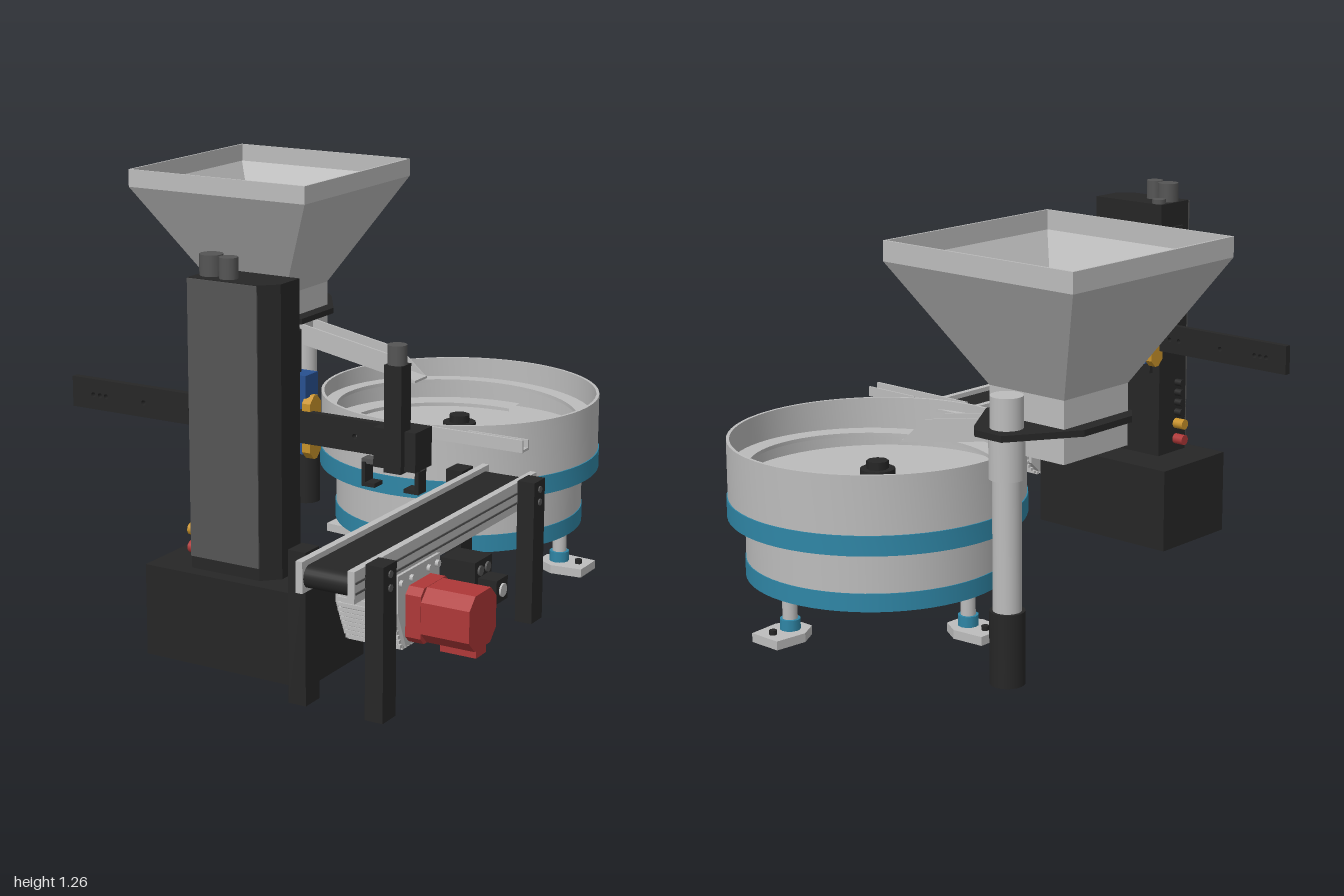
import * as THREE from 'three';
import { toCreasedNormals } from 'three/addons/utils/BufferGeometryUtils.js';

const mat = (name, color) => new THREE.MeshStandardMaterial({ name, color, side: THREE.DoubleSide });

export function createModel() {
  const model = new THREE.Group();
  const steel = mat('steel', 0xbcbcbc), black = mat('black', 0x262626), grey = mat('dark grey', 0x555555);
  const teal = mat('teal', 0x2f86a6), red = mat('red', 0xae3838), yellow = mat('amber', 0xc8922a);
  const blue = mat('blue', 0x28508f);

  const add = (name, geo, m) => {
    const mesh = new THREE.Mesh(geo, m);
    mesh.name = name;
    model.add(mesh);
    return mesh;
  };
  // Box given by its limits on each axis
  const box = (name, m, x0, x1, y0, y1, z0, z1) => add(name,
    new THREE.BoxGeometry(x1 - x0, y1 - y0, z1 - z0).translate((x0 + x1) / 2, (y0 + y1) / 2, (z0 + z1) / 2), m);
  // Upright cylinder from y0 to y1
  const post = (name, m, x, z, r, y0, y1, sides = 24) => add(name,
    new THREE.CylinderGeometry(r, r, y1 - y0, sides).translate(x, (y0 + y1) / 2, z), m);
  // Cylinder lying along x
  const rod = (name, m, x0, x1, y, z, r, sides = 24) => add(name,
    new THREE.CylinderGeometry(r, r, x1 - x0, sides).rotateZ(Math.PI / 2).translate((x0 + x1) / 2, y, z), m);
  // Outline pushed along an axis: x uses (z,y) points, y uses (x,z), z uses (x,y)
  const prism = (name, m, axis, pts, a, b, holes = []) => {
    const shape = new THREE.Shape(pts.map(p => new THREE.Vector2(...p)));
    shape.holes.push(...holes);
    const g = new THREE.ExtrudeGeometry(shape, { depth: b - a, bevelEnabled: false, curveSegments: 8 });
    if (axis === 'x') g.rotateY(-Math.PI / 2).translate(b, 0, 0);
    if (axis === 'y') g.rotateX(Math.PI / 2).translate(0, b, 0);
    if (axis === 'z') g.translate(0, 0, a);
    return add(name, g, m);
  };
  const octagon = (cx, cy, hx, hy, c) => [[hx, hy - c], [hx - c, hy], [c - hx, hy], [-hx, hy - c],
    [-hx, c - hy], [c - hx, -hy], [hx - c, -hy], [hx, c - hy]].map(([x, y]) => [cx + x, cy + y]);
  const lathe = (name, m, pts, x, z) => add(name, toCreasedNormals(
    new THREE.LatheGeometry(pts.map(p => new THREE.Vector2(...p)), 64), 0.4).translate(x, 0, z), m);

  // Hopper: four-sided shell with straight rim and closed neck
  const k = Math.SQRT2;
  const hopper = new THREE.LatheGeometry([[0, 0.655], [0.14, 0.655], [0.14, 0.84], [0.349, 1.2], [0.349, 1.26], [0.342, 1.26], [0.342, 1.2]]
    .map(([r, y]) => new THREE.Vector2(r * k, y)), 4, Math.PI / 4).toNonIndexed();
  hopper.computeVertexNormals();
  add('hopper', hopper.translate(-0.546, 0, -0.515), steel);
  // Hopper bracket around the neck
  const neckHole = new THREE.Path([[-0.685, -0.65], [-0.407, -0.65], [-0.407, -0.38], [-0.685, -0.38]].map(p => new THREE.Vector2(...p)));
  prism('hopperBracket', black, 'y', [[-0.73, -0.41], [-0.69, -0.36], [-0.4, -0.36], [-0.36, -0.41], [-0.36, -0.62],
    [-0.47, -0.79], [-0.5, -0.82], [-0.6, -0.82], [-0.62, -0.79], [-0.73, -0.62]], 0.738, 0.757, [neckHole]);
  // Hopper stand
  post('standFoot', black, -0.549, -0.74, 0.052, 0, 0.22);
  post('standTube', steel, -0.549, -0.74, 0.042, 0.22, 0.83);
  post('standCollar', steel, -0.549, -0.74, 0.052, 0.61, 0.735);
  post('standCap', steel, -0.549, -0.74, 0.048, 0.757, 0.85);
  // Sloping feed chute
  for (const z of [-0.565, -0.479])
    prism('chuteWall', steel, 'z', [[-0.41, 0.655], [0.045, 0.57], [-0.06, 0.66], [-0.41, 0.725]], z, z + 0.008);
  prism('chuteFloor', steel, 'z', [[-0.41, 0.655], [0.045, 0.57], [0.045, 0.578], [-0.41, 0.663]], -0.56, -0.475);

  // Feeder bowl and drum
  const bx = 0.195, bz = -0.515;
  lathe('bowl', steel, [[0.463, 0.375], [0.463, 0.56], [0.453, 0.56], [0.453, 0.4], [0.37, 0.4], [0, 0.42]], bx, bz);
  lathe('bowlBand', teal, [[0, 0.315], [0.467, 0.315], [0.467, 0.377], [0.455, 0.377]], bx, bz);
  post('drum', steel, bx, bz, 0.412, 0.18, 0.32, 64);
  post('drumBand', teal, bx, bz, 0.415, 0.125, 0.182, 64);
  post('bowlKnob', black, bx, bz, 0.055, 0.41, 0.45, 16);
  post('bowlKnobTop', black, bx, bz, 0.035, 0.45, 0.475, 8);
  // Spiral track climbing the bowl wall, with a skirt below its inner edge
  const track = [], index = [], steps = 96;
  for (let i = 0; i <= steps; i++) {
    const t = i / steps, a = Math.PI * (3.5 - 3 * t), y = 0.41 + 0.115 * t, ri = 0.37 + 0.045 * t;
    for (const [r, h] of [[0.455, y], [ri, y], [ri, y - 0.012]])
      track.push(bx + r * Math.cos(a), h, bz + r * Math.sin(a));
    if (i < steps) for (const j of [0, 1]) {
      const p = i * 3 + j;
      index.push(p, p + 3, p + 1, p + 1, p + 3, p + 4);
    }
  }
  const spiral = new THREE.BufferGeometry();
  spiral.setAttribute('position', new THREE.Float32BufferAttribute(track, 3));
  spiral.setIndex(index.reverse());
  add('spiralTrack', toCreasedNormals(spiral, 0.5), steel);
  // Straight outlet from the bowl to the belt
  box('outletFloor', steel, 0.2, 0.66, 0.522, 0.53, -0.09, -0.048);
  box('outletWall', steel, 0.25, 0.66, 0.522, 0.562, -0.054, -0.046);
  box('outletWall', steel, 0.45, 0.66, 0.522, 0.555, -0.092, -0.086);
  // Four feet around the drum
  for (let i = 0; i < 4; i++) {
    const foot = new THREE.Group();
    foot.name = 'bowlFoot';
    foot.add(prism('footPad', steel, 'y', [[0.485, -0.055], [0.485, 0.055], [0.38, 0.065], [0.32, 0.03], [0.32, -0.03], [0.38, -0.065]], 0, 0.028),
      post('footNut', teal, 0.38, 0, 0.032, 0.028, 0.062, 12),
      post('footStem', steel, 0.38, 0, 0.023, 0.062, 0.127, 16),
      post('footBolt', black, 0.45, 0, 0.012, 0.028, 0.042, 8));
    foot.position.set(bx, 0, bz);
    foot.rotation.y = i * Math.PI / 2;
    model.add(foot);
  }

  // Conveyor
  for (const [x0, x1, out] of [[0.49, 0.512, 0.489], [0.655, 0.677, 0.678]]) {
    box('conveyorRail', steel, x0, x1, 0.355, 0.447, -0.115, 1);
    for (const y of [0.38, 0.41]) box('railGroove', grey, out - 0.002, out + 0.002, y, y + 0.006, -0.11, 0.995);
  }
  box('belt', black, 0.514, 0.653, 0.365, 0.432, -0.08, 0.965);
  for (const z of [-0.08, 0.965]) rod('beltRoller', black, 0.514, 0.653, 0.3985, z, 0.0335);
  for (const x of [0.43, 0.678]) for (const z of [-0.055, 0.87]) {
    box('conveyorLeg', black, x, x + 0.057, 0, 0.453, z, z + 0.073);
    for (const y of [0.385, 0.425]) rod('legBolt', grey, x - 0.004, x + 0.061, y, z + 0.036, 0.011, 8);
  }

  // Ribbed drive housing below the belt
  const outline = [[0.78, 0.37], [0.78, 0.25], [0.73, 0.14], [0.57, 0.14], [0.525, 0.18], [0.525, 0.37]];
  prism('driveHousing', steel, 'x', outline, 0.505, 0.665);
  const inset = outline.map(([z, y]) => [0.65 + (z - 0.65) * 0.96, y < 0.3 ? y + 0.008 : y]);
  for (const x of [0.484, 0.665]) prism('drivePlate', steel, 'x', inset, x, x + 0.021);
  for (let i = 0; i + 1 < outline.length; i++) {
    const [z0, y0] = outline[i], [z1, y1] = outline[i + 1], n = Math.round(Math.hypot(z1 - z0, y1 - y0) / 0.018);
    for (let j = 0; j < n; j++) {
      const z = z0 + (z1 - z0) * (j + 0.5) / n, y = y0 + (y1 - y0) * (j + 0.5) / n;
      box('driveRib', steel, 0.495, 0.675, y - 0.005, y + 0.005, z - 0.006, z + 0.006);
    }
  }
  for (const z of [0.55, 0.6, 0.7, 0.76]) rod('plateBolt', steel, 0.472, 0.696, 0.345, z, 0.011, 8);
  // Motor
  prism('motorFlange', red, 'x', octagon(0.648, 0.242, 0.083, 0.083, 0.02), 0.686, 0.735);
  prism('motorBody', red, 'x', octagon(0.648, 0.242, 0.082, 0.082, 0.035), 0.735, 0.888);
  box('motorPlug', red, 0.77, 0.885, 0.135, 0.165, 0.62, 0.68);
  // Control box with dials
  box('controlBox', black, 0.678, 0.79, 0.17, 0.35, 0.405, 0.51);
  box('controlNose', black, 0.79, 0.85, 0.23, 0.3, 0.42, 0.49);
  for (const [y, z] of [[0.32, 0.435], [0.32, 0.48], [0.2, 0.435], [0.2, 0.48]]) rod('controlDial', grey, 0.79, 0.796, y, z, 0.015, 16);
  rod('controlLens', steel, 0.85, 0.856, 0.265, 0.455, 0.02, 16);

  // Handling unit: base and column
  box('unitBase', black, -0.135, 0.418, 0, 0.28, 0.503, 0.832);
  prism('column', black, 'y', [[0, 0.64], [0.283, 0.64], [0.283, 0.74], [0.235, 0.787], [0, 0.787]], 0.28, 1.15);
  box('columnCover', grey, 0, 0.235, 0.318, 1.148, 0.785, 0.792);
  post('columnCap', grey, 0.04, 0.725, 0.035, 1.15, 1.212, 12);
  post('columnCap', grey, 0.11, 0.742, 0.028, 1.15, 1.212, 12);
  post('columnCap', grey, 0.03, 0.663, 0.023, 1.15, 1.165, 8);
  // Fittings on the column side
  for (let i = 0; i < 4; i++) rod('columnPort', black, -0.027, 0, 0.42 + i * 0.035, 0.735, 0.012, 10);
  rod('amberButton', yellow, -0.04, 0, 0.38, 0.735, 0.018, 12);
  rod('redButton', red, -0.04, 0, 0.325, 0.735, 0.018, 12);
  box('columnLug', black, -0.012, 0, 1.015, 1.07, 0.7, 0.75);

  // Carriage behind the column
  box('carriage', blue, 0, 0.28, 0.62, 0.8, 0.56, 0.604);
  box('carriageTop', blue, -0.01, 0.292, 0.795, 0.862, 0.556, 0.625);
  for (const x of [-0.028, 0.277])
    prism('carriageEnd', yellow, 'x', octagon(0.59, 0.705, 0.03, 0.095, 0.022), x, x + 0.028);
  box('carriageSlide', black, 0.03, 0.25, 0.57, 0.88, 0.625, 0.642);
  post('carriageKnob', black, 0.23, 0.59, 0.024, 0.862, 0.985, 16);
  // Arm with bolt holes
  const holes = [-0.467, -0.443, -0.42, -0.28, -0.108, -0.07, 0.457].map(x => new THREE.Path().absarc(x, 0.706, 0.008, 0, Math.PI * 2, true));
  prism('arm', black, 'z', [[-0.545, 0.661], [0.555, 0.661], [0.555, 0.756], [-0.545, 0.756]], 0.604, 0.626, holes);

  // Gripper at the arm's end
  box('gripperMount', black, 0.55, 0.685, 0.645, 0.76, 0.585, 0.68);
  box('gripperBody', black, 0.595, 0.65, 0.64, 0.95, 0.645, 0.7);
  post('gripperCap', grey, 0.622, 0.674, 0.028, 0.95, 1.006, 16);
  box('gripperBar', grey, 0.495, 0.682, 0.64, 0.655, 0.615, 0.65);
  for (const [x, tip] of [[0.497, 0.54], [0.67, 0.635]]) {
    box('gripperFinger', black, x, x + 0.012, 0.578, 0.645, 0.61, 0.655);
    box('fingerTip', black, Math.min(x, tip), Math.max(x + 0.012, tip), 0.574, 0.586, 0.61, 0.655);
  }
  return model;
}
